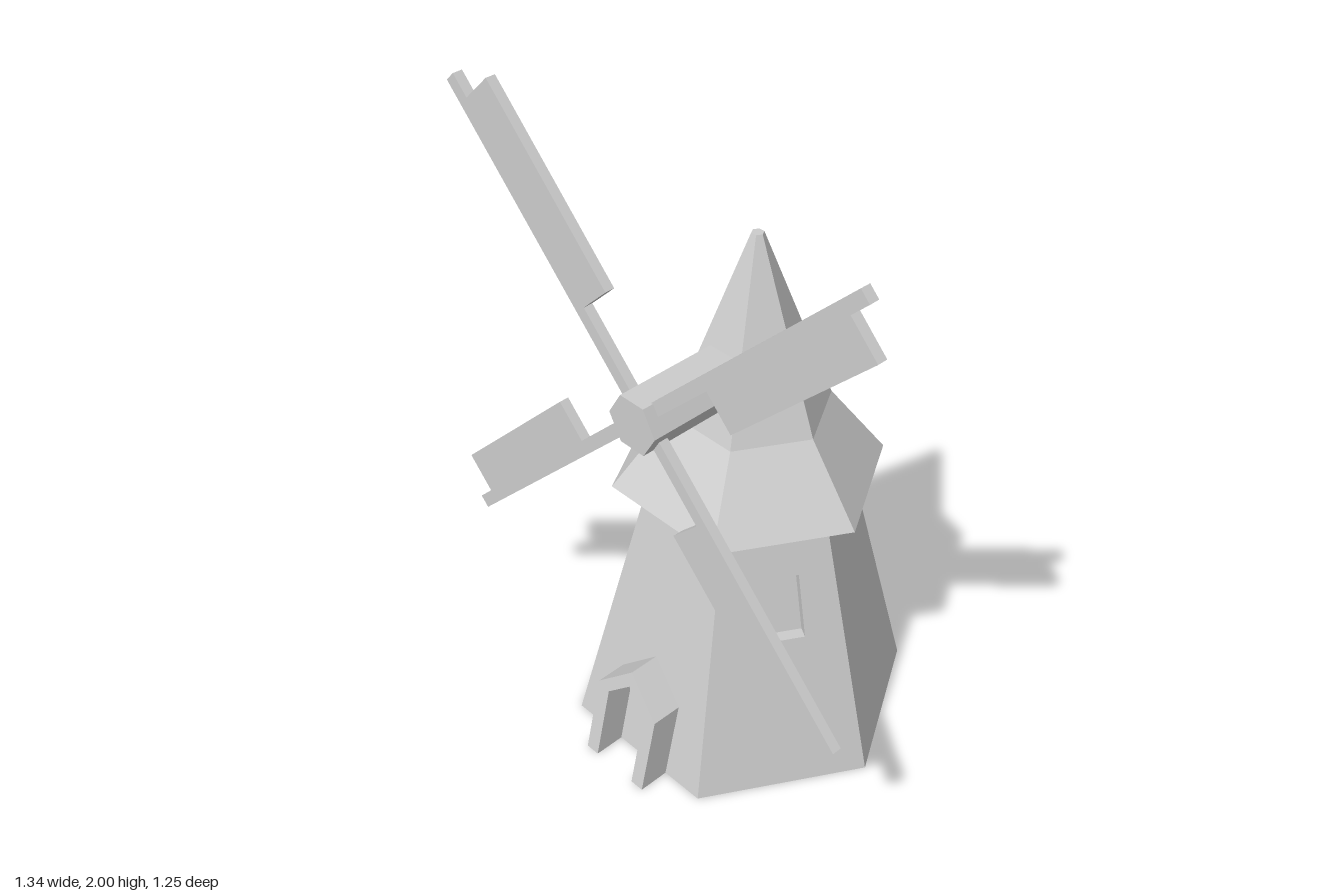
import * as THREE from 'three';

const SIDES = 6;
const WALL_H = 0.855, R_BASE = 0.515, R_TOP = 0.295;
const APOTHEM = R_BASE * Math.cos(Math.PI / SIDES);
const LEAN = (R_BASE - R_TOP) * Math.cos(Math.PI / SIDES) / WALL_H;
const RECESS = 0.035;

const material = new THREE.MeshStandardMaterial({ color: 0xcccccc, flatShading: true });

function add(parent, name, geometry) {
  const mesh = new THREE.Mesh(geometry, material);
  mesh.name = name;
  parent.add(mesh);
  return mesh;
}

const points = (list) => list.map(([x, y]) => new THREE.Vector2(x, y));

// Extrudes an outline from z = back to z = front
function slab(shape, back, front) {
  const g = new THREE.ExtrudeGeometry(shape, { depth: front - back, bevelEnabled: false });
  return g.translate(0, 0, back);
}

// Tilts a slab so that it follows the sloping wall
function lean(g) {
  const p = g.attributes.position;
  for (let i = 0; i < p.count; i++) p.setZ(i, p.getZ(i) - LEAN * p.getY(i));
  g.computeVertexNormals();
  return g;
}

// Tapered window opening: bottom and top half widths, bottom and top heights
const windows = {
  1: [0.08, 0.066, 0.48, 0.68],
  4: [0.115, 0.1, 0.1, 0.24],
};

function wallGeometry(opening) {
  const a = R_BASE / 2, b = R_TOP / 2;
  const shape = new THREE.Shape(points([[-a, 0], [a, 0], [b, WALL_H], [-b, WALL_H]]));
  if (opening) {
    const [w0, w1, y0, y1] = opening;
    shape.holes.push(new THREE.Path(points([[-w0, y0], [-w1, y1], [w1, y1], [w0, y0]])));
  }
  return lean(slab(shape, APOTHEM - RECESS, APOTHEM));
}

export function createModel() {
  const model = new THREE.Group();
  model.name = 'windmill';

  const tower = new THREE.Group();
  tower.name = 'tower';
  tower.position.set(0.205, 0, -0.11);
  model.add(tower);

  // Six leaning walls, two with a recessed window, around an inner core
  const inset = RECESS / Math.cos(Math.PI / SIDES);
  add(tower, 'towerCore', new THREE.CylinderGeometry(R_TOP - inset, R_BASE - inset, WALL_H, SIDES)
    .translate(0, WALL_H / 2, 0));
  add(tower, 'basePlate', new THREE.CylinderGeometry(R_BASE - 0.006, R_BASE - 0.002, 0.01, SIDES)
    .translate(0, 0.005, 0));
  for (let i = 0; i < SIDES; i++) {
    const wall = add(tower, windows[i] ? 'windowWall' : 'wall', wallGeometry(windows[i]));
    wall.rotation.y = -Math.PI / 6 + i * Math.PI / 3;
  }

  // Hexagonal roof with flared eaves
  add(tower, 'roof', new THREE.LatheGeometry(points([
    [0, WALL_H], [0.402, WALL_H], [0.232, 1.08], [0.018, 1.63], [0, 1.63],
  ]), SIDES));

  // Door and sails share the direction of one wall
  const facing = new THREE.Group();
  facing.name = 'millFront';
  facing.rotation.y = -Math.PI / 6;
  tower.add(facing);

  // Pointed door frame
  const frame = new THREE.Shape(points([
    [-0.12, 0], [-0.075, 0], [-0.075, 0.23], [0, 0.295], [0.075, 0.23], [0.075, 0],
    [0.12, 0], [0.12, 0.24], [0, 0.345], [-0.12, 0.24],
  ]));
  add(facing, 'doorFrame', lean(slab(frame, APOTHEM - 0.02, 0.542)));

  // Hexagonal sail axle
  add(facing, 'axle', new THREE.CylinderGeometry(0.087, 0.087, 0.35, SIDES)
    .rotateY(Math.PI / 6).rotateX(Math.PI / 2).translate(0, 1.235, 0.275));

  // Four sails, each a pole with a board on its clockwise side
  const sails = new THREE.Group();
  sails.name = 'sails';
  sails.position.set(-0.005, 1.24, 0.4);
  facing.add(sails);
  const outline = new THREE.Shape(points([
    [-0.02, 0], [0.02, 0], [0.02, 0.32], [0.143, 0.32],
    [0.143, 0.938], [0.02, 0.938], [0.02, 1.01], [-0.02, 1.01],
  ]));
  const sailGeometry = slab(outline, -0.015, 0.015);
  for (let i = 0; i < 4; i++) {
    add(sails, 'sail', sailGeometry).rotation.z = Math.PI / 4 + i * Math.PI / 2;
  }

  return model;
}
